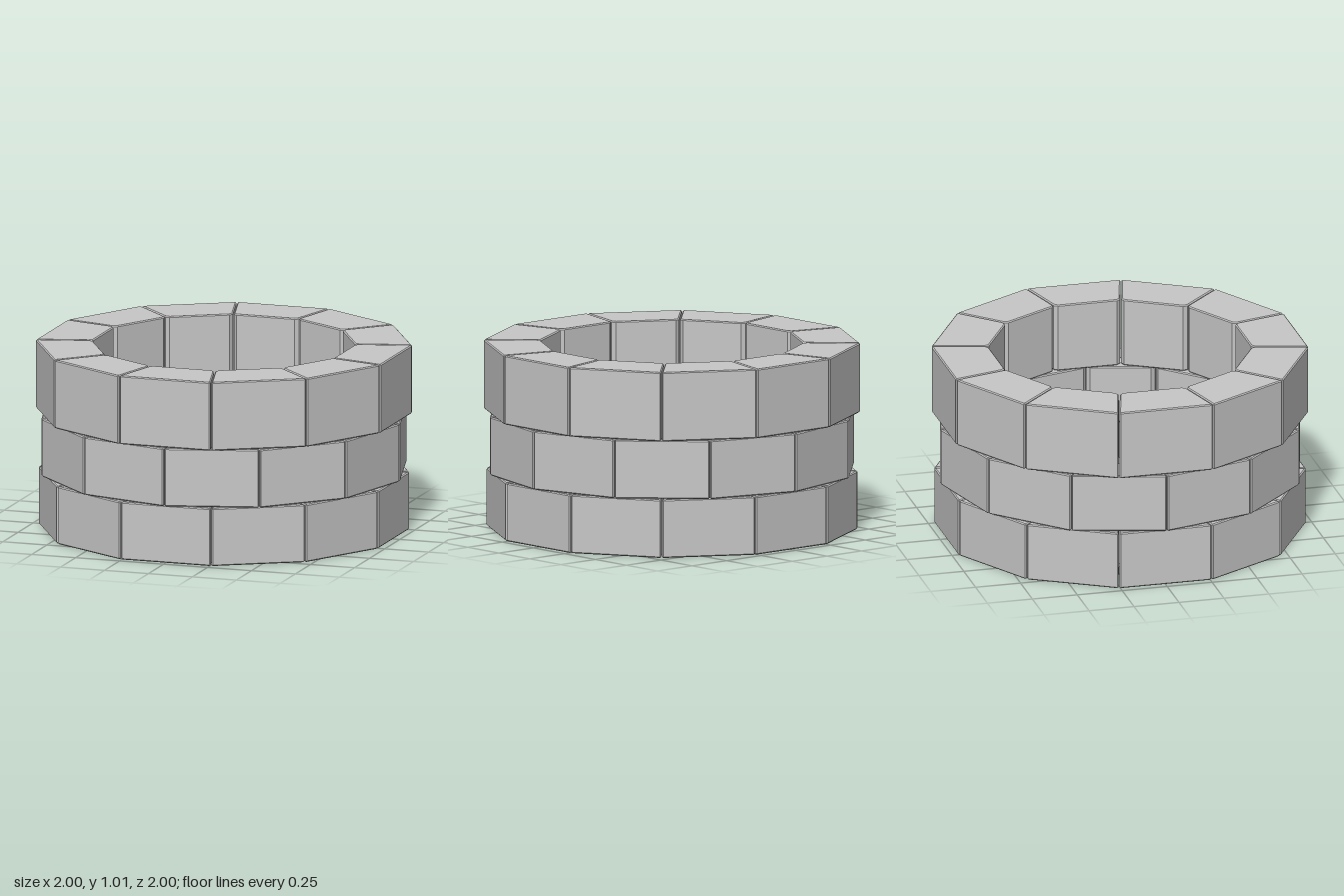
import * as THREE from 'three';

const COUNT = 12;
const STEP = (Math.PI * 2) / COUNT;
const BEVEL = 0.006;

// Wedge-shaped block with chamfered corners, facing +z, standing on y = 0
function blockGeometry(inner, outer, height) {
  const slope = Math.tan(STEP / 2);
  const gap = 0.003;
  const r0 = inner + BEVEL, r1 = outer - BEVEL;
  const half = (r) => r * slope - gap - BEVEL;
  const cutIn = 0.014, cutOut = 0.002;
  const right = [
    [half(r0) - cutIn, r0],
    [half(r0 + cutIn), r0 + cutIn],
    [half(r1 - cutOut), r1 - cutOut],
    [half(r1) - cutOut, r1],
  ];
  const left = right.map(([x, r]) => [-x, r]).reverse();
  const shape = new THREE.Shape([...right, ...left].map(([x, r]) => new THREE.Vector2(x, -r)));
  const geometry = new THREE.ExtrudeGeometry(shape, {
    depth: height - 2 * BEVEL,
    bevelEnabled: true,
    bevelSize: BEVEL,
    bevelThickness: BEVEL,
    bevelSegments: 1,
  });
  geometry.rotateX(-Math.PI / 2);
  geometry.translate(0, BEVEL, 0);
  return geometry;
}

export function createModel() {
  const model = new THREE.Group();
  model.name = 'stoneWell';
  const stone = new THREE.MeshStandardMaterial({ color: 0xc7c7c7 });
  stone.name = 'light grey stone';

  // Three courses of blocks, the middle one turned by half a block
  const courses = [
    { name: 'bottomCourse', y: 0, height: 0.317, inner: 0.685, outer: 0.966, turn: 0 },
    { name: 'middleCourse', y: 0.318, height: 0.319, inner: 0.685, outer: 0.967, turn: 0.5 },
    { name: 'topCourse', y: 0.638, height: 0.377, inner: 0.685, outer: 0.98, turn: 0 },
  ];
  for (const { name, y, height, inner, outer, turn } of courses) {
    const course = new THREE.Group();
    course.name = name;
    course.position.y = y;
    const geometry = blockGeometry(inner, outer, height);
    for (let i = 0; i < COUNT; i++) {
      const block = new THREE.Mesh(geometry, stone);
      block.name = 'stoneBlock';
      block.rotation.y = (i + turn) * STEP;
      course.add(block);
    }
    model.add(course);
  }

  // Round floor slab inside the bottom course
  const floor = new THREE.Mesh(new THREE.CylinderGeometry(0.695, 0.695, 0.02, 48), stone);
  floor.name = 'floor';
  floor.position.y = 0.02;
  model.add(floor);

  return model;
}
